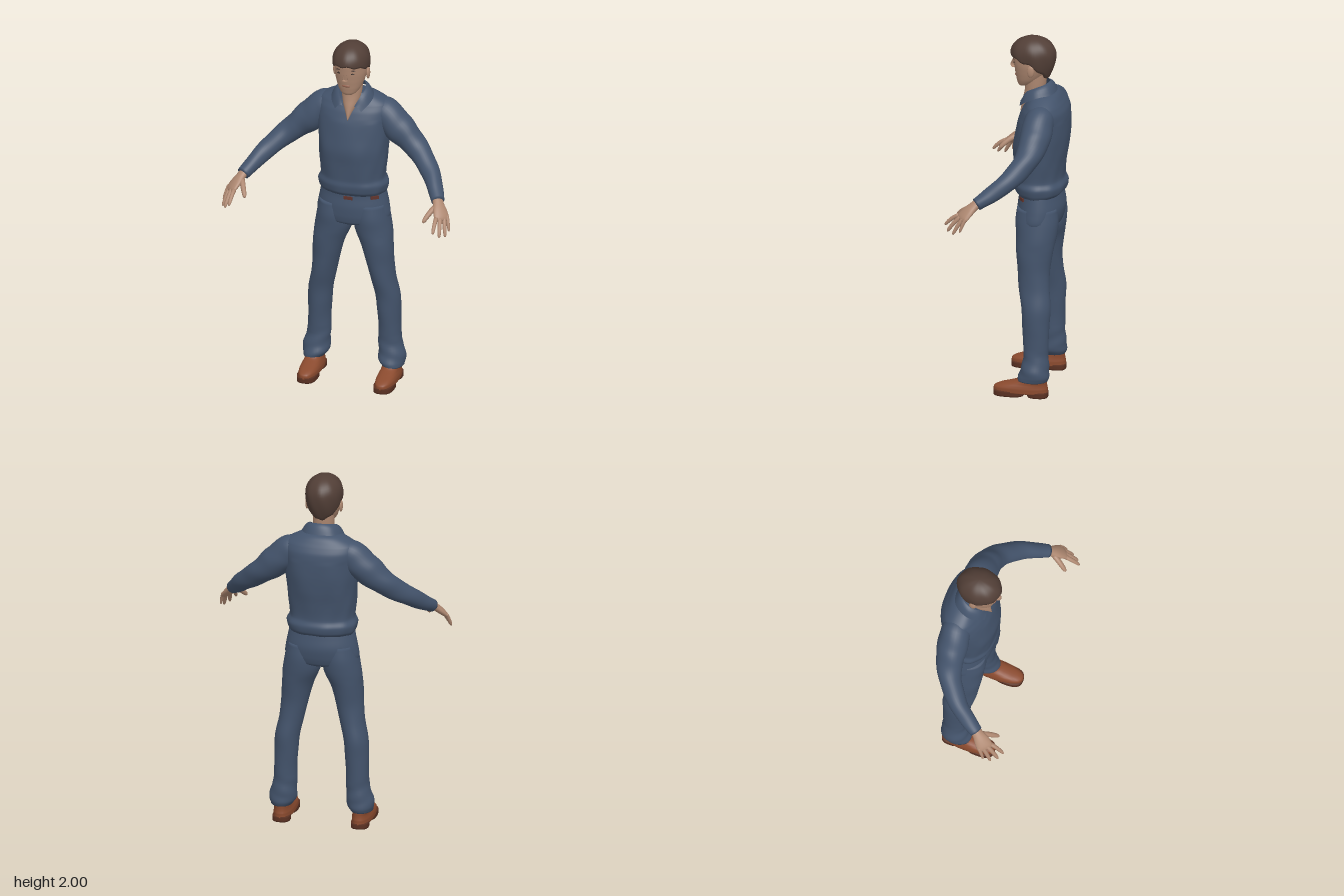
import * as THREE from 'three';

const V = (x, y, z) => new THREE.Vector3(x, y, z);
const paint = (name, color, side = THREE.FrontSide) => {
  const m = new THREE.MeshStandardMaterial({ color, side });
  m.name = name;
  return m;
};

// Grid surface; u wraps round unless open
function surface(fn, nu, nv, open = false) {
  const pos = [], idx = [], cols = open ? nu + 1 : nu;
  for (let j = 0; j <= nv; j++)
    for (let i = 0; i < cols; i++) pos.push(...fn(i / nu, j / nv, j).toArray());
  for (let j = 0; j < nv; j++)
    for (let i = 0; i < nu; i++) {
      const a = j * cols + i, b = j * cols + (i + 1) % cols;
      idx.push(a, b, b + cols, a, b + cols, a + cols);
    }
  const g = new THREE.BufferGeometry();
  g.setAttribute('position', new THREE.Float32BufferAttribute(pos, 3));
  g.setIndex(idx);
  g.computeVertexNormals();
  return g;
}

// Closed body through sections [x, y, z, radius across, radius along ref].
// Without ref the rings stay level: radius in x, then radius in z.
function tube(sections, { ref = null, power = 1, ripple = () => 1, nu = 28, nv = 28 } = {}) {
  const centre = new THREE.CatmullRomCurve3(sections.map(s => V(s[0], s[1], s[2])));
  const radii = new THREE.CatmullRomCurve3(sections.map(s => V(s[3], s[4] ?? s[3], 0)));
  const bend = s => Math.sign(s) * Math.abs(s) ** power;
  const rows = nv + 2;
  return surface((u, v, j) => {
    const t = Math.min(1, Math.max(0, (j - 1) / nv));
    const c = centre.getPoint(t), r = radii.getPoint(t);
    if (j === 0 || j === rows) return c;
    const d = ref ? centre.getTangent(t) : V(0, 1, 0);
    const U = (ref || V(0, 0, 1)).clone().addScaledVector(d, -(ref || V(0, 0, 1)).dot(d)).normalize();
    const W = d.clone().cross(U);
    const a = u * Math.PI * 2, k = ripple(a, c.y);
    return c.addScaledVector(U, r.y * k * bend(Math.cos(a))).addScaledVector(W, r.x * k * bend(Math.sin(a)));
  }, nu, rows);
}

function mirrored(geometry) {
  const g = geometry.clone().scale(-1, 1, 1), ix = g.index.array;
  for (let i = 0; i < ix.length; i += 3) [ix[i], ix[i + 1]] = [ix[i + 1], ix[i]];
  g.computeVertexNormals();
  return g;
}

const blob = (x, y, z, rx, ry, rz) => new THREE.SphereGeometry(1, 16, 10).scale(rx, ry, rz).translate(x, y, z);

export function createModel() {
  const model = new THREE.Group();
  model.name = 'standingMan';
  const cloth = paint('blue cloth', 0x43536b, THREE.DoubleSide);
  const skin = paint('skin', 0xae8871);
  const hair = paint('dark brown hair', 0x513e36, THREE.DoubleSide);
  const leather = paint('brown leather', 0x8a4a2e);
  const sole = paint('dark sole', 0x5a3122);
  const lip = paint('lips', 0x95634f);
  const dark = paint('eye dark', 0x352822);
  const belt = paint('belt', 0x61342c);

  const add = (name, geometry, material) => {
    const m = new THREE.Mesh(geometry, material);
    m.name = name;
    model.add(m);
    return m;
  };
  const pair = (name, geometry, material) => {
    add('left' + name, geometry, material);
    add('right' + name, mirrored(geometry), material);
  };

  // Shirt body with soft folds
  add('shirt', tube([
    [0, 1.115, -.12, .178, .118], [0, 1.135, -.122, .188, .136], [0, 1.17, -.122, .194, .142],
    [0, 1.21, -.117, .179, .133], [0, 1.3, -.118, .187, .14], [0, 1.38, -.122, .192, .149],
    [0, 1.46, -.132, .199, .146], [0, 1.54, -.14, .203, .138], [0, 1.6, -.148, .208, .122],
    [0, 1.64, -.15, .195, .1], [0, 1.68, -.145, .125, .075], [0, 1.7, -.13, .075, .055],
  ], {
    power: .92, nu: 64, nv: 60,
    ripple: (a, y) => y > 1.55 ? 1 : 1 + .009 * Math.sin(7 * a + 14 * y) + .008 * Math.sin(11 * a - 25 * y) * (1.6 - y) * 2,
  }), cloth);

  // Folded collar, tip to tip round the neck
  const half = (pts, s) => pts.map(p => V(p[0] * s, p[1], p[2]));
  const collarEdge = pts => new THREE.CatmullRomCurve3([...half(pts, 1), V(0, pts.top, pts.back), ...half(pts, -1).reverse()]);
  const inner = collarEdge(Object.assign(
    [[.032, 1.64, -.02], [.06, 1.695, -.05], [.074, 1.725, -.1], [.052, 1.742, -.15]], { top: 1.748, back: -.17 }));
  const outer = collarEdge(Object.assign(
    [[.074, 1.618, -.018], [.105, 1.65, -.055], [.116, 1.68, -.12], [.072, 1.692, -.19]], { top: 1.695, back: -.208 }));
  add('collar', surface((u, v) => {
    const p = inner.getPoint(u).lerp(outer.getPoint(u), v);
    p.y += .012 * Math.sin(v * Math.PI);
    return p;
  }, 40, 6, true), cloth);

  // Sleeves
  pair('Sleeve', tube([
    [.1, 1.6, -.15, .06], [.17, 1.575, -.15, .082], [.25, 1.5, -.142, .084], [.32, 1.44, -.13, .071],
    [.385, 1.385, -.1, .061], [.47, 1.31, -.025, .051], [.52, 1.255, .05, .043], [.555, 1.215, .112, .035],
  ], { ref: V(0, 1, 0), nu: 32, nv: 50, ripple: (a, y) => 1 + .02 * Math.sin(65 * y + 2 * a) + .012 * Math.sin(3 * a + 30 * y) }), cloth);

  // Trousers: hips and two legs
  add('hips', tube([
    [0, .925, -.118, .1, .08], [0, .945, -.12, .19, .112], [0, .985, -.123, .205, .123],
    [0, 1.04, -.126, .197, .128], [0, 1.1, -.125, .185, .12], [0, 1.15, -.12, .175, .115],
  ], { nu: 40 }), cloth);
  pair('TrouserLeg', tube([
    [.223, .09, -.125, .06, .08], [.215, .12, -.13, .074, .084], [.213, .16, -.135, .073, .077],
    [.202, .23, -.138, .064, .068], [.2, .32, -.138, .062, .07], [.196, .41, -.136, .065, .075],
    [.19, .5, -.135, .067, .08], [.169, .6, -.122, .068, .084], [.152, .7, -.115, .075, .088],
    [.137, .8, -.115, .087, .1], [.112, .9, -.122, .103, .112], [.105, .97, -.122, .098, .118], [.1, 1.05, -.122, .088, .11],
  ], {
    nu: 32, nv: 64,
    ripple: (a, y) => 1 + .012 * Math.sin(3 * a + 22 * y) * (y < .85) + (y < .25 ? .025 : 0) * Math.sin(75 * y + 2 * a),
  }), cloth);

  // Belt showing below the shirt hem
  for (const [x, y, z, w, turn] of [[.005, 1.1, -.005, .05, 0], [.143, 1.104, -.046, .045, .62]])
    add('beltPiece', new THREE.BoxGeometry(w, .018, .009).rotateY(turn).translate(x, y, z), belt);

  // Shoes
  pair('Shoe', tube([
    [.218, .022, -.058, .055, .151], [.218, .045, -.059, .055, .149], [.218, .06, -.07, .052, .135],
    [.218, .075, -.095, .048, .108], [.219, .095, -.122, .046, .08], [.22, .14, -.128, .045, .07],
  ], { power: .85 }), leather);
  for (const [name, z, r, w] of [['ShoeHeel', -.152, .056, .048], ['ShoeSole', .008, .084, .054]])
    pair(name, tube([[.218, 0, z, w, r], [.218, .015, z, w, r], [.218, .03, z, w, r]], { power: .75, nv: 4 }), sole);

  // Neck, narrowing into the open shirt front
  add('neck', tube([
    [0, 1.562, -.026, .004, .02], [0, 1.6, -.042, .02, .03], [0, 1.64, -.06, .038, .04],
    [0, 1.68, -.08, .051, .051], [0, 1.72, -.09, .057, .056], [0, 1.8, -.095, .06, .06],
  ]), skin);

  // Head
  add('head', tube([
    [0, 1.717, -.022, .026, .022], [0, 1.73, -.034, .046, .042], [0, 1.76, -.053, .066, .068],
    [0, 1.8, -.066, .08, .088], [0, 1.85, -.075, .09, .105], [0, 1.9, -.075, .09, .11], [0, 1.95, -.076, .072, .09],
  ], { nu: 36 }), skin);
  add('nose', tube([
    [0, 1.872, .024, .008, .008], [0, 1.85, .032, .009, .009], [0, 1.828, .036, .014, .014], [0, 1.816, .032, .015, .012],
  ], { nu: 14, nv: 10 }), skin);
  pair('Ear', blob(.094, 1.828, -.083, .01, .034, .02).rotateY(0), skin);
  pair('Eye', blob(.035, 1.855, .021, .014, .0045, .004).rotateY(.03), dark);
  pair('Eyebrow', blob(.036, 1.876, .022, .019, .004, .005).rotateY(.03), hair);
  add('mouth', blob(0, 1.778, .014, .024, .008, .008), lip);

  // Short hair: low at the nape, higher over the brow
  add('hair', surface((u, v, j) => {
    const a = u * Math.PI * 2, c = Math.cos(a);
    const low = 1.862 + (c > 0 ? .038 : .095) * c + .005 * Math.sin(9 * a);
    const y = low + (2 - low) * Math.sin(Math.max(0, v - .05) / .95 * Math.PI / 2);
    let s = y > 1.9 ? Math.sqrt(Math.max(0, 1 - ((y - 1.9) / .1) ** 2)) : 1 - .35 * ((1.9 - y) / .14) ** 2;
    s *= (j === 0 ? .86 : 1) * (1 + .014 * Math.sin(8 * a + 30 * y));
    return V(.101 * s * Math.sin(a), y, -.078 + .125 * s * c);
  }, 48, 20), hair);

  // Hands: palm, four fingers and a thumb
  pair('Palm', tube([
    [.547, 1.226, .1, .024, .028], [.562, 1.206, .125, .022, .031], [.58, 1.18, .153, .02, .041],
    [.598, 1.152, .178, .016, .045], [.605, 1.138, .188, .01, .04],
  ], { ref: V(.62, 0, -.78), nu: 20, nv: 14 }), skin);
  const fingers = {
    IndexFinger: [.575, 1.155, .205, .58, 1.095, .28, .0115],
    MiddleFinger: [.592, 1.15, .19, .61, 1.07, .26, .012],
    RingFinger: [.608, 1.15, .17, .633, 1.062, .225, .0115],
    LittleFinger: [.62, 1.155, .153, .642, 1.08, .185, .01],
    Thumb: [.553, 1.195, .14, .507, 1.13, .228, .015],
  };
  for (const [name, [x, y, z, X, Y, Z, r]] of Object.entries(fingers)) {
    const at = (t, k) => [x + (X - x) * t, y + (Y - y) * t + .008 * Math.sin(t * Math.PI), z + (Z - z) * t, r * k];
    pair(name, tube([at(0, 1.1), at(.35, 1), at(.7, .9), at(.92, .7), at(1, .3)], { ref: V(1, 0, 0), nu: 12, nv: 10 }), skin);
  }
  return model;
}
